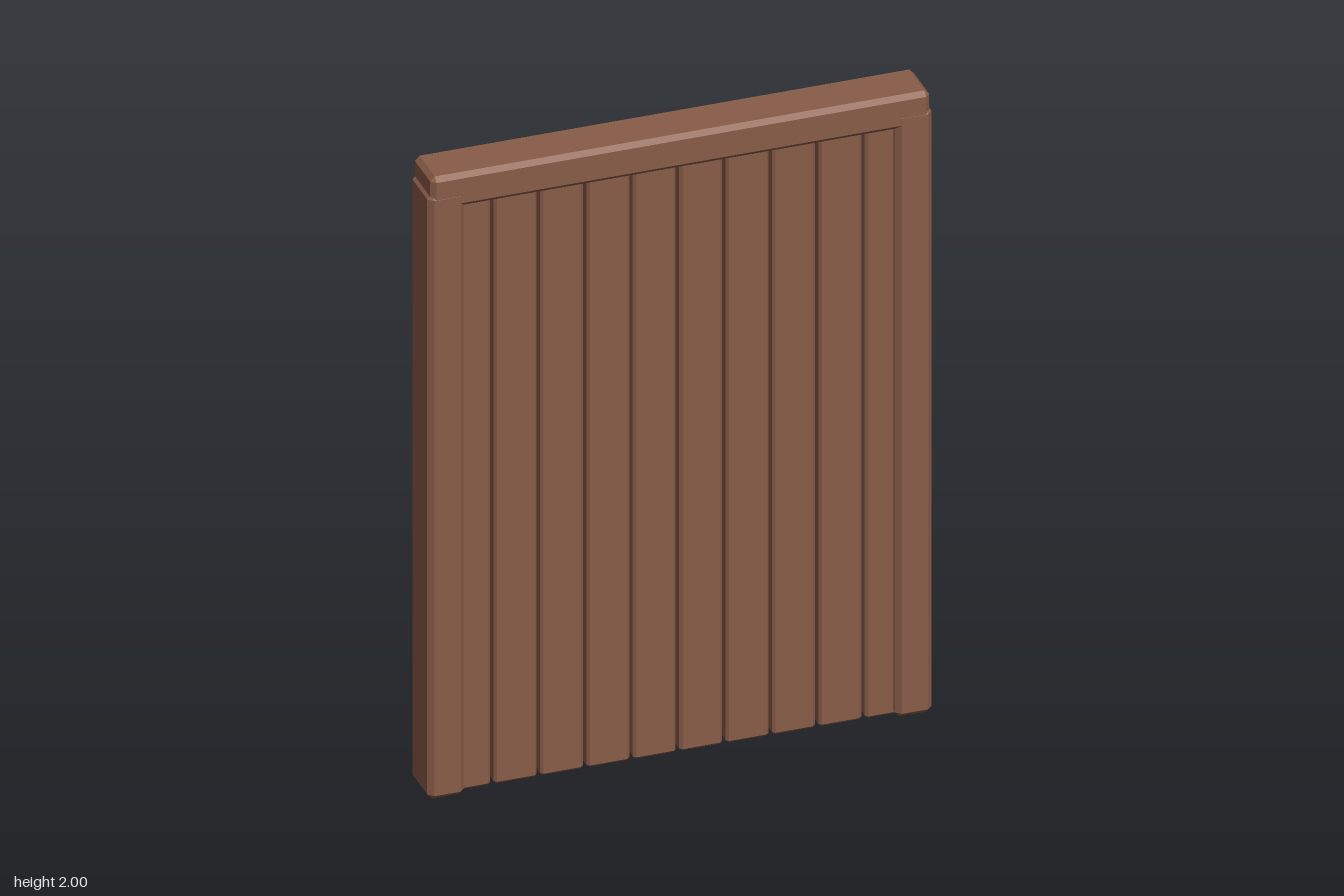
import * as THREE from 'three';
import { ConvexGeometry } from 'three/addons/geometries/ConvexGeometry.js';

// Box with all edges chamfered by c, centred on the origin
function chamferBox(w, h, d, c) {
  const pts = [];
  for (const sx of [-1, 1]) for (const sy of [-1, 1]) for (const sz of [-1, 1]) {
    const x = w / 2, y = h / 2, z = d / 2;
    pts.push(
      new THREE.Vector3(sx * x, sy * (y - c), sz * (z - c)),
      new THREE.Vector3(sx * (x - c), sy * y, sz * (z - c)),
      new THREE.Vector3(sx * (x - c), sy * (y - c), sz * z)
    );
  }
  return new ConvexGeometry(pts);
}

export function createModel() {
  const group = new THREE.Group();
  group.name = 'woodenPanel';
  const wood = new THREE.MeshStandardMaterial({ color: 0x895c48 });
  wood.name = 'brownWood';

  // Adds a chamfered timber spanning y0 to y1
  function timber(name, x, y0, y1, w, d, c) {
    const mesh = new THREE.Mesh(chamferBox(w, y1 - y0, d, c), wood);
    mesh.name = name;
    mesh.position.set(x, (y0 + y1) / 2, 0);
    group.add(mesh);
  }

  // Frame: two posts and the top rail
  timber('leftPost', 0.695, 0, 1.945, 0.11, 0.155, 0.016);
  timber('rightPost', -0.695, 0, 1.945, 0.11, 0.155, 0.016);
  timber('topRail', 0, 1.893, 2, 1.484, 0.154, 0.014);

  // Ten upright planks, set back a little on both faces
  const count = 10, pitch = 0.138;
  for (let i = 0; i < count; i++) {
    timber(`plank${i + 1}`, (i - (count - 1) / 2) * pitch, 0.004, 1.91, 0.128, 0.106, 0.008);
  }
  return group;
}
